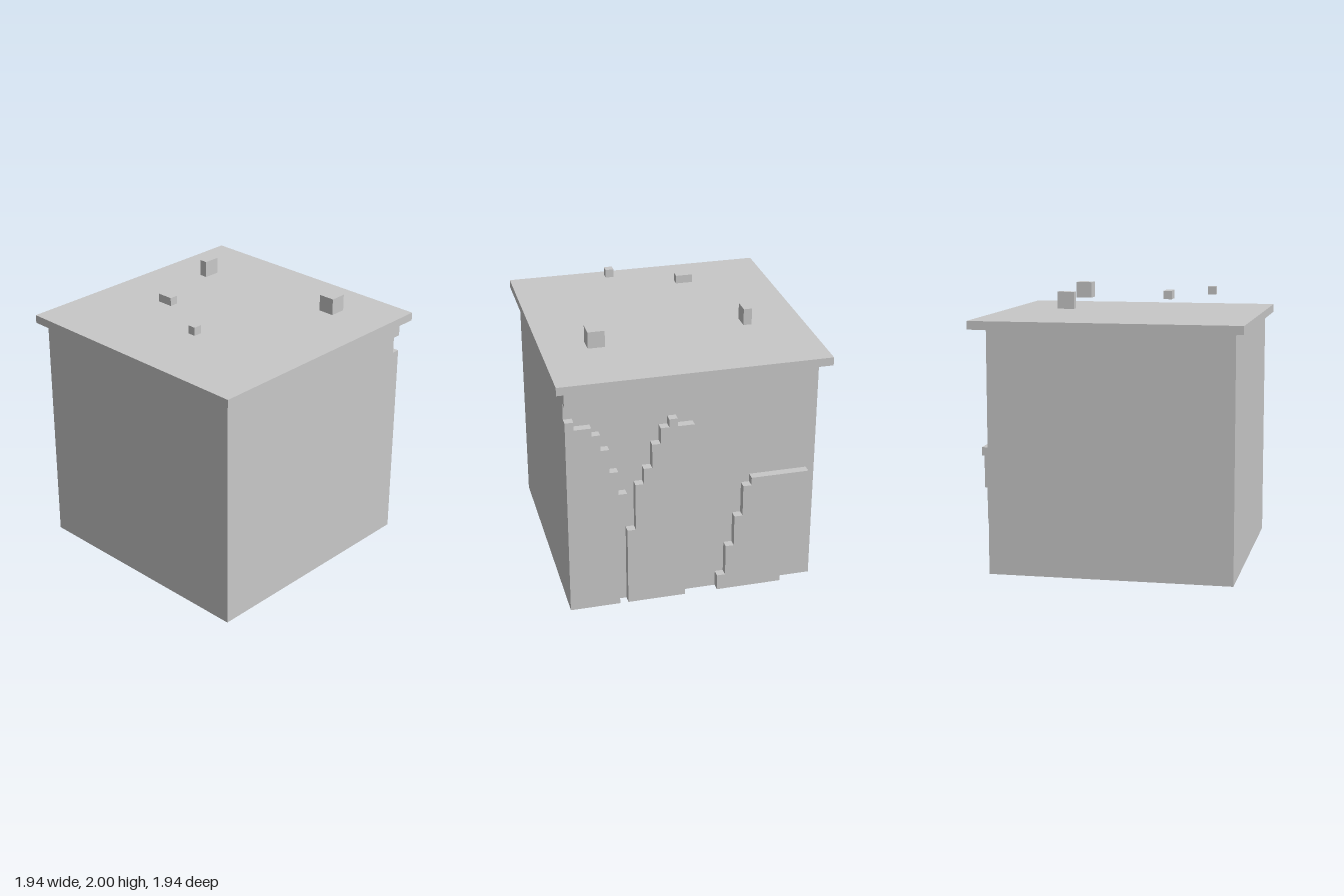
import * as THREE from 'three';

const U = 2 / 33; // one block unit

export function createModel() {
  const group = new THREE.Group();
  const grey = new THREE.MeshStandardMaterial({ color: 0xc8c8c8, side: THREE.DoubleSide });
  grey.name = 'grey';

  // Mesh placed in block units
  function add(name, geometry, x, y, z, rotX = 0, rotY = 0) {
    const mesh = new THREE.Mesh(geometry, grey);
    mesh.position.set(x * U, y * U, z * U);
    mesh.rotation.set(rotX, rotY, 0);
    mesh.name = name;
    group.add(mesh);
  }

  // Box given by its lower and upper corners
  function block(name, x0, y0, z0, x1, y1, z1) {
    const geometry = new THREE.BoxGeometry((x1 - x0) * U, (y1 - y0) * U, (z1 - z0) * U);
    add(name, geometry, (x0 + x1) / 2, (y0 + y1) / 2, (z0 + z1) / 2);
  }

  const plane = (w, h) => new THREE.PlaneGeometry(w * U, h * U);

  // Flat shape facing the back; a is the distance from the left edge
  function backFace(name, points, z) {
    const shape = new THREE.Shape(points.map(([a, y]) => new THREE.Vector2((a - 15) * U, y * U)));
    add(name, new THREE.ShapeGeometry(shape), 0, 0, z, 0, Math.PI);
  }

  // Hollow body, open underneath
  add('frontWall', plane(30, 29), 0, 14.5, 15);
  add('leftWall', plane(29, 29), 15, 14.5, 0.5, 0, Math.PI / 2);
  add('rightWall', plane(29, 29), -15, 14.5, 0.5, 0, -Math.PI / 2);

  // Overhanging roof
  block('roofSlab', -16, 29, -16, 16, 30, 16);

  // Blocks hovering above the roof
  block('tallFloatingBlock', -9, 31, -7, -8, 33, -5);
  block('longFloatingBlock', -5, 32, 5, -3, 33, 6);
  block('smallFloatingBlock', 4, 32, 9, 5, 33, 10);
  block('largeFloatingBlock', 9, 31, -9, 11, 33, -7);

  // Stepped slab standing out from the back wall, open underneath.
  // Steps alternate between a new height and a new distance from the left.
  function steppedSlab(name, a, y, steps) {
    const points = [[a, y]];
    steps.forEach((value, i) => {
      if (i % 2 === 0) y = value;
      else a = value;
      points.push([a, y]);
    });
    backFace(name + 'Face', points, -15);
    for (let i = 1; i < points.length; i++) {
      const [a0, y0] = points[i - 1], [a1, y1] = points[i];
      const x = 15 - (a0 + a1) / 2, mid = (y0 + y1) / 2;
      if (a0 === a1) {
        const turn = y1 > y0 ? Math.PI / 2 : -Math.PI / 2;
        add(name + 'Side', plane(1, Math.abs(y1 - y0)), x, mid, -14.5, 0, turn);
      } else if (a1 > a0) {
        add(name + 'Top', plane(a1 - a0, 1), x, mid, -14.5, -Math.PI / 2);
      }
    }
    return points;
  }

  const left = steppedSlab('leftSlab', 0, 0, [25, 1, 24, 3, 23, 4, 21, 5, 18, 6, 15, 7, 11, 6, 0]);
  const middle = steppedSlab('middleSlab', 7, 0, [10, 8, 16, 9, 18, 10, 21, 11, 23, 12, 24, 13, 23, 15, 10, 14, 0]);
  const right = steppedSlab('rightSlab', 18, 0, [2, 19, 6, 20, 10, 21, 14, 22, 15, 29, 14, 28, 10, 27, 6, 26, 0]);
  steppedSlab('cornerStub', 0, 27, [29, 1, 27]);

  // Recessed back wall fills the space around the slabs
  const corners = [[30, 0], [30, 29], [1, 29], [1, 27], [0, 27]];
  backFace('backWall', [...left.slice(1), ...middle, ...right, ...corners], -14);

  return group;
}
